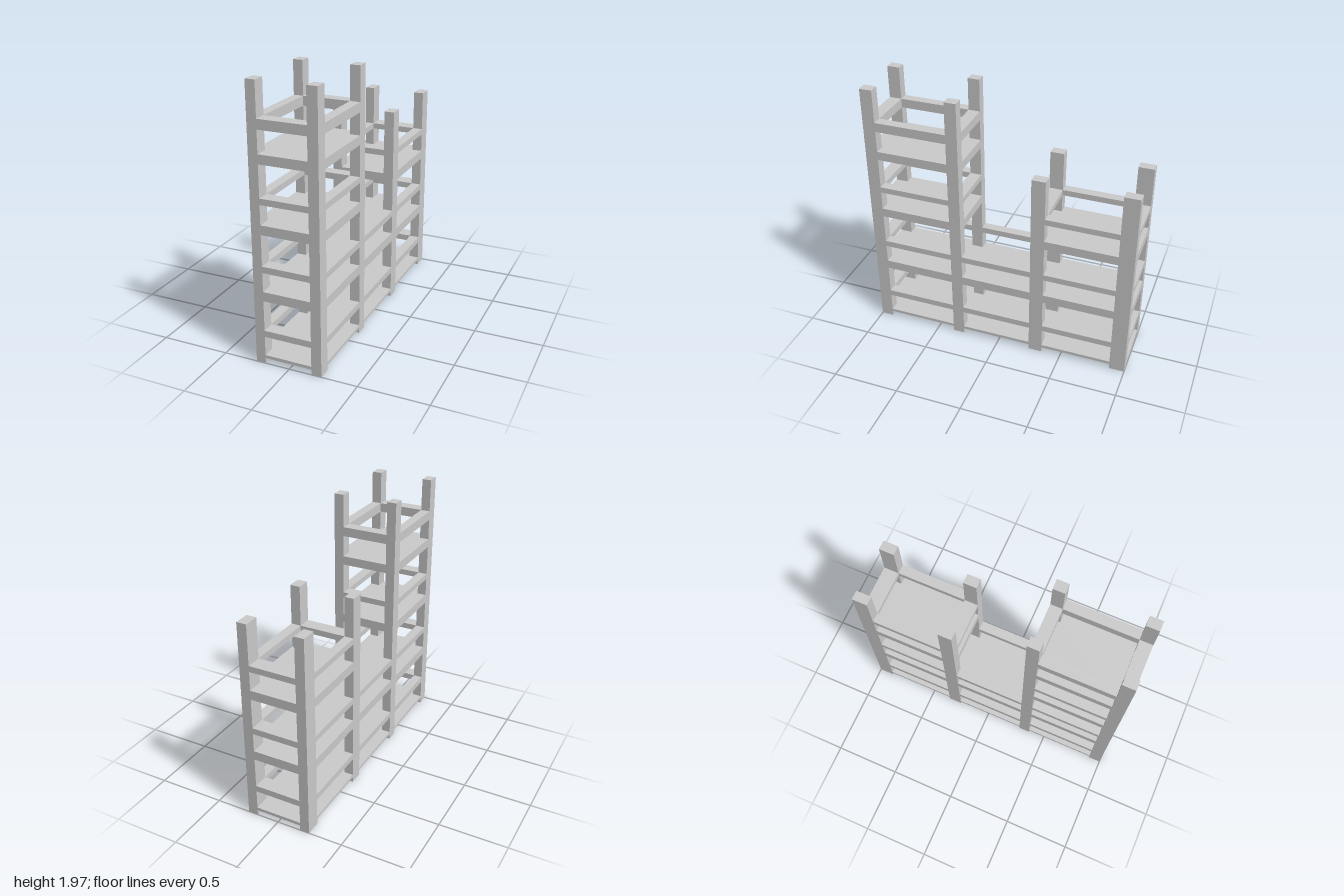
import * as THREE from 'three';

const material = new THREE.MeshStandardMaterial({ color: 0xcccccc, flatShading: true });

// Box given by its limits on each axis
function block(parent, name, [x0, x1], [y0, y1], [z0, z1]) {
  const mesh = new THREE.Mesh(new THREE.BoxGeometry(x1 - x0, y1 - y0, z1 - z0), material);
  mesh.position.set((x0 + x1) / 2, (y0 + y1) / 2, (z0 + z1) / 2);
  mesh.name = name;
  parent.add(mesh);
}

export function createModel() {
  const model = new THREE.Group();
  model.name = 'steppedShelfRack';

  const sides = [[-0.25, -0.18], [0.167, 0.241]];
  const full = [-0.25, 0.241];
  const inner = [-0.18, 0.167];

  // Post rows from front to back, with their heights
  const rows = [
    { z: [0.907, 1], top: 1.97 },
    { z: [0.285, 0.372], top: 1.97 },
    { z: [-0.352, -0.25], top: 1.5 },
    { z: [-1, -0.885], top: 1.5 },
  ];
  for (const { z, top } of rows)
    for (const x of sides) block(model, 'post', x, [0, top], z);

  // Solid shelf from one post row to another
  const shelf = (y, a, b) => block(model, 'shelf', full, y, [rows[b].z[0], rows[a].z[1]]);

  // Open guard frame: side rails between posts, cross rails at both ends
  const guard = (y, a, b) => {
    const frame = new THREE.Group();
    frame.name = 'guardFrame';
    for (let i = a; i < b; i++)
      for (const x of sides) block(frame, 'sideRail', x, y, [rows[i + 1].z[1], rows[i].z[0]]);
    for (const i of [a, b]) block(frame, 'crossRail', inner, y, rows[i].z);
    model.add(frame);
  };

  // Lower levels run the whole length
  shelf([0.04, 0.063], 0, 3);
  guard([0.205, 0.252], 0, 3);
  shelf([0.475, 0.543], 0, 3);
  guard([0.682, 0.728], 0, 3);

  // Upper levels of both towers
  for (const [a, b] of [[0, 1], [2, 3]]) {
    shelf([0.952, 1.02], a, b);
    guard([1.16, 1.204], a, b);
  }

  // Extra level of the tall front tower
  shelf([1.432, 1.498], 0, 1);
  guard([1.657, 1.726], 0, 1);

  return model;
}
